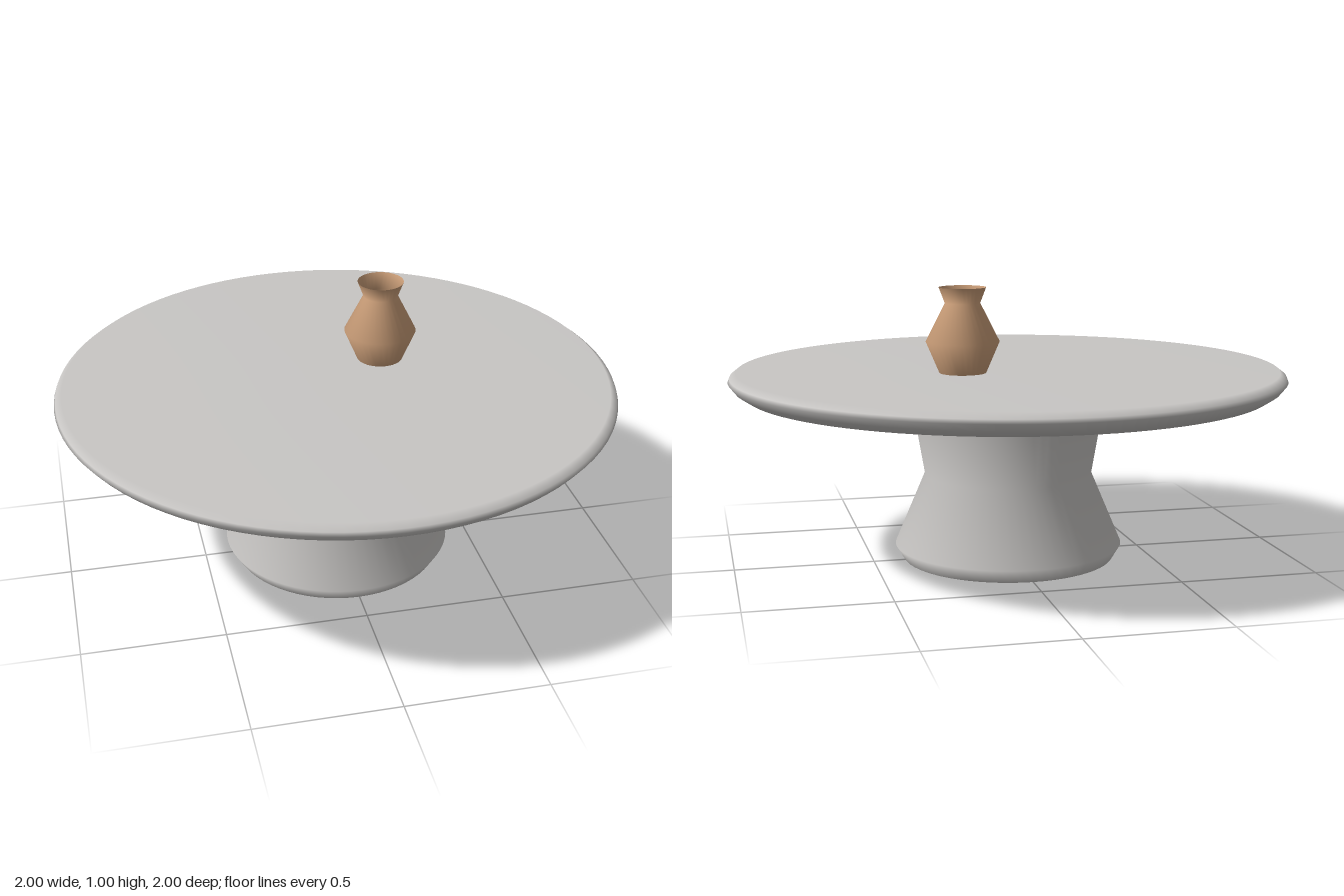
import * as THREE from 'three';

const makeMaterial = (name, color, side = THREE.FrontSide) => {
  const m = new THREE.MeshStandardMaterial({ color, side });
  m.name = name;
  return m;
};

// Turned part from [radius, height] pairs, listed bottom to top along the outside
function turned(name, profile, material, segments = 64) {
  const points = profile.map(([r, y]) => new THREE.Vector2(r, y));
  const mesh = new THREE.Mesh(new THREE.LatheGeometry(points, segments), material);
  mesh.name = name;
  return mesh;
}

export function createModel() {
  const stone = makeMaterial('pale grey stone', 0xc8c6c4, THREE.DoubleSide);
  const brass = makeMaterial('brass', 0xc9b066);
  const clay = makeMaterial('terracotta', 0xcda07a, THREE.DoubleSide);

  const table = new THREE.Group();
  table.name = 'pedestalTable';

  // Waisted hollow pedestal, open underneath
  table.add(turned('pedestal', [
    [0.385, 0], [0.415, 0.05], [0.305, 0.31], [0.358, 0.62],
  ], stone));

  // Round top with a softened rim
  table.add(turned('tableTop', [
    [0, 0.62], [0.945, 0.62], [0.98, 0.643], [1, 0.668],
    [0.995, 0.682], [0.972, 0.7], [0, 0.7],
  ], stone, 96));

  // Brass collar beneath the top
  const collar = new THREE.Mesh(new THREE.TorusGeometry(0.357, 0.02, 12, 64), brass);
  collar.name = 'collar';
  collar.rotation.x = Math.PI / 2;
  collar.position.y = 0.6;
  table.add(collar);

  // Open-necked vase standing off centre
  const vase = turned('vase', [
    [0.083, 0.7], [0.13, 0.81], [0.062, 0.945], [0.083, 1],
  ], clay, 32);
  vase.position.set(0.19, 0, -0.115);
  table.add(vase);

  return table;
}
